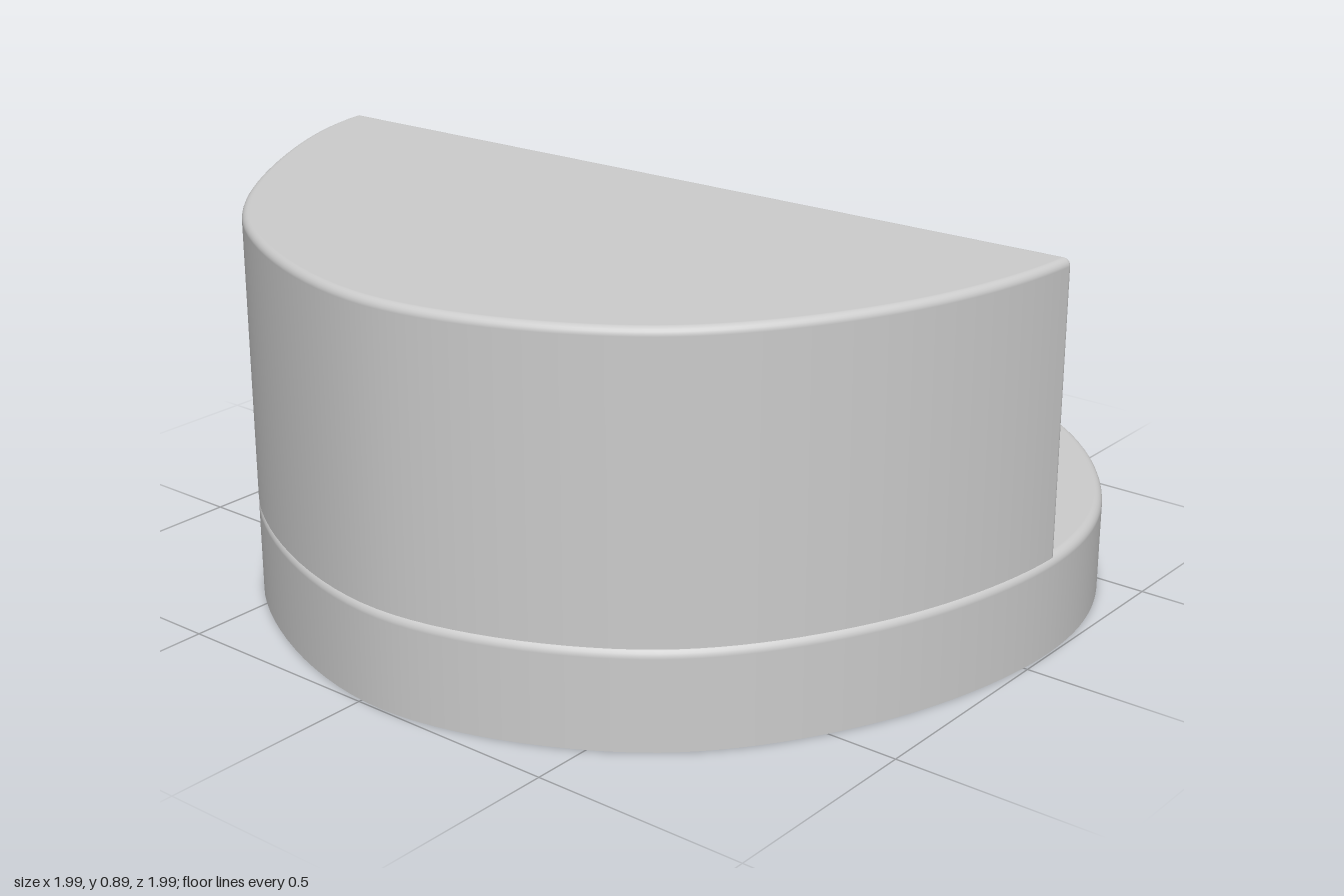
import * as THREE from 'three';

// Plan outline as [x, z]: front tip, left-hand lobe, back tip, right-hand lobe
const PLAN = [
  [0.1, 0.995], [-0.4, 0.885], [-0.8, 0.59], [-0.995, 0.06], [-0.8, -0.5], [-0.4, -0.835],
  [0.02, -0.995], [0.4, -0.92], [0.8, -0.55], [0.99, 0.03], [0.8, 0.6], [0.45, 0.91],
];
const BACK_TIP = 6;
const FILLET = 0.022;

const curve = new THREE.CatmullRomCurve3(
  PLAN.map(([x, z]) => new THREE.Vector3(x, 0, z)), true, 'centripetal');

function samplePlan(t0, t1, steps) {
  return Array.from({ length: steps + 1 }, (_, i) => curve.getPoint(t0 + (t1 - t0) * i / steps));
}

// Small rounded corner between two outline points
function roundCorner(from, corner, to) {
  return new THREE.QuadraticBezierCurve3(from, corner, to).getPoints(6);
}

// Upright wall on a closed convex outline, with a rounded rim and a flat top; open below
function filletedSolid(outline, y0, y1, r) {
  const n = outline.length;
  const profile = [[0, y0, 0]];
  for (let k = 0; k <= 6; k++) {
    const a = k / 6 * Math.PI / 2;
    profile.push([r * (1 - Math.cos(a)), y1 - r + r * Math.sin(a), a]);
  }
  const outward = outline.map((p, i) => {
    const d = outline[(i + 1) % n].clone().sub(outline[(i + n - 1) % n]).normalize();
    return new THREE.Vector3(d.z, 0, -d.x);
  });
  const pos = [], nor = [], idx = [];
  profile.forEach(([inset, y, a], j) => {
    outline.forEach((p, i) => {
      const o = outward[i];
      pos.push(p.x - o.x * inset, y, p.z - o.z * inset);
      nor.push(o.x * Math.cos(a), Math.sin(a), o.z * Math.cos(a));
      if (j === 0) return;
      const next = (i + 1) % n, lo = (j - 1) * n, hi = j * n;
      idx.push(lo + i, hi + i, lo + next, lo + next, hi + i, hi + next);
    });
  });
  // Flat top
  const centre = outline.reduce((s, p) => s.add(p), new THREE.Vector3()).divideScalar(n);
  const last = (profile.length - 1) * n, c = profile.length * n;
  pos.push(centre.x, y1, centre.z);
  nor.push(0, 1, 0);
  for (let i = 0; i < n; i++) idx.push(c, last + (i + 1) % n, last + i);

  const g = new THREE.BufferGeometry();
  g.setAttribute('position', new THREE.Float32BufferAttribute(pos, 3));
  g.setAttribute('normal', new THREE.Float32BufferAttribute(nor, 3));
  g.setIndex(idx);
  return g;
}

export function createModel() {
  const group = new THREE.Group();
  const material = new THREE.MeshStandardMaterial({ color: 0xcccccc, side: THREE.DoubleSide });
  const add = (name, geometry) => {
    const mesh = new THREE.Mesh(geometry, material);
    mesh.name = name;
    group.add(mesh);
  };

  // Shallow hollow base, open underneath
  add('base', filletedSolid(samplePlan(0, 1, 144).slice(0, -1), 0, 0.228, FILLET));

  // Tall block over one half, cut straight from tip to tip
  const tipT = BACK_TIP / PLAN.length, trim = 0.003;
  const arc = samplePlan(trim, tipT - trim, 72);
  const front = curve.getPoint(0), back = curve.getPoint(tipT);
  const chord = (t) => back.clone().lerp(front, t);
  const outline = [
    ...arc.slice(1, -1),
    ...roundCorner(arc[arc.length - 1], back, chord(0.01)),
    ...roundCorner(chord(0.99), front, arc[0]),
  ];
  add('halfBlock', filletedSolid(outline, 0.228, 0.895, 0.018));

  return group;
}
